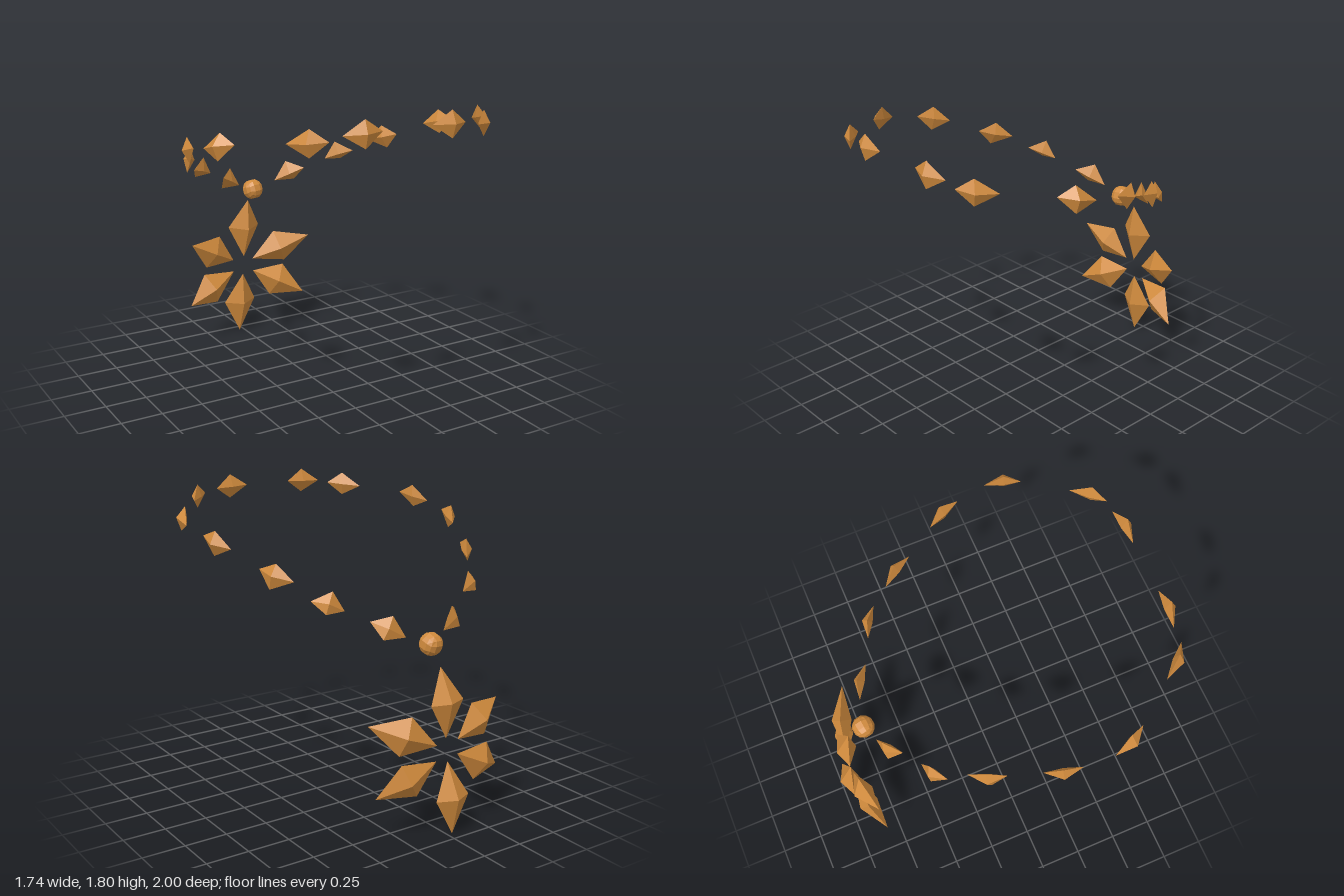
import * as THREE from 'three';
import { ConvexGeometry } from 'three/addons/geometries/ConvexGeometry.js';

const V = (p) => new THREE.Vector3(...p);

// Faceted gem: two tips, two side corners, and a ridge point on each face
function gem(tipA, tipB, sideA, sideB, outward, outer, inner) {
  const mid = V(tipA).add(V(tipB)).add(V(sideA)).add(V(sideB)).multiplyScalar(0.25);
  const tipMid = V(tipA).add(V(tipB)).multiplyScalar(0.5);
  const n = V(tipB).sub(V(tipA)).cross(V(sideB).sub(V(sideA))).normalize();
  if (n.dot(outward) < 0) n.negate();
  // Ridge points are measured from the line joining the tips
  mid.addScaledVector(n, n.dot(tipMid.sub(mid)));
  return new ConvexGeometry([
    V(tipA), V(tipB), V(sideA), V(sideB),
    mid.clone().addScaledVector(n, outer),
    mid.clone().addScaledVector(n, -inner),
  ]);
}

export function createModel() {
  const model = new THREE.Group();
  model.name = 'necklace';
  const amber = new THREE.MeshStandardMaterial({ color: 0xd18b3d });
  amber.name = 'amber';
  amber.flatShading = true;
  const add = (geometry, name, parent) => {
    const mesh = new THREE.Mesh(geometry, amber);
    mesh.name = name;
    parent.add(mesh);
    return mesh;
  };

  // Chain beads on the +x side: front tip, rear tip, upper corner, lower corner
  const beads = [
    [[0.152, 1.74, 0.953], [0.377, 1.733, 0.935], [0.265, 1.812, 0.965], [0.265, 1.663, 0.975]],
    [[0.455, 1.712, 0.943], [0.61, 1.692, 0.786], [0.535, 1.776, 0.885], [0.537, 1.632, 0.89]],
    [[0.78, 1.666, 0.57], [0.863, 1.622, 0.378], [0.818, 1.717, 0.48], [0.84, 1.575, 0.495]],
    [[0.845, 1.59, 0.21], [0.779, 1.535, 0.012], [0.83, 1.63, 0.095], [0.828, 1.487, 0.118]],
    [[0.7, 1.447, -0.153], [0.597, 1.395, -0.342], [0.658, 1.488, -0.26], [0.69, 1.347, -0.24]],
    [[0.558, 1.305, -0.44], [0.406, 1.25, -0.537], [0.463, 1.36, -0.51], [0.515, 1.242, -0.525]],
    [[0.289, 1.19, -0.603], [0.128, 1.102, -0.71], [0.2, 1.227, -0.69], [0.262, 1.102, -0.69]],
  ];
  for (const side of [1, -1]) {
    const chain = new THREE.Group();
    chain.name = side > 0 ? 'leftChain' : 'rightChain';
    model.add(chain);
    for (const bead of beads) {
      const [a, b, t, l] = bead.map(([x, y, z]) => [x * side, y, z]);
      const outward = new THREE.Vector3(a[0] + b[0], 0, a[2] + b[2]);
      add(gem(a, b, t, l, outward, 0.053, 0.01), 'chainBead', chain);
    }
  }

  // Round bead joining chain and pendant: a cube grid pushed onto a sphere
  const ball = new THREE.BoxGeometry(1, 1, 1, 3, 3, 3);
  const pos = ball.attributes.position;
  for (let i = 0; i < pos.count; i++) {
    const p = new THREE.Vector3().fromBufferAttribute(pos, i).setLength(0.066);
    pos.setXYZ(i, p.x, p.y, p.z);
  }
  ball.computeVertexNormals();
  const round = add(ball, 'roundBead', model);
  round.position.set(-0.012, 1.053, -0.748);
  round.rotation.set(-0.35, 0.1, 0.1);

  // Star pendant petals: inner tip, outer tip, and the two side corners
  const petals = [
    [[-0.015, 0.555, -0.89], [0.002, 0.954, -0.85], [-0.117, 0.767, -0.905], [0.103, 0.762, -0.905]],
    [[0.05, 0.527, -0.895], [0.417, 0.674, -0.768], [0.194, 0.709, -0.86], [0.27, 0.498, -0.85]],
    [[0.057, 0.44, -0.9], [0.39, 0.262, -0.802], [0.275, 0.458, -0.88], [0.17, 0.258, -0.88]],
    [[-0.017, 0.427, -0.905], [-0.031, 0.01, -0.943], [-0.136, 0.225, -0.948], [0.088, 0.225, -0.948]],
    [[-0.085, 0.455, -0.905], [-0.436, 0.295, -0.83], [-0.309, 0.473, -0.89], [-0.218, 0.268, -0.89]],
    [[-0.089, 0.537, -0.9], [-0.412, 0.704, -0.84], [-0.194, 0.722, -0.885], [-0.294, 0.522, -0.885]],
  ];
  const pendant = new THREE.Group();
  pendant.name = 'starPendant';
  model.add(pendant);
  for (const p of petals) {
    add(gem(...p, new THREE.Vector3(0, 0, -1), 0.078, 0.045), 'petal', pendant);
  }
  return model;
}
